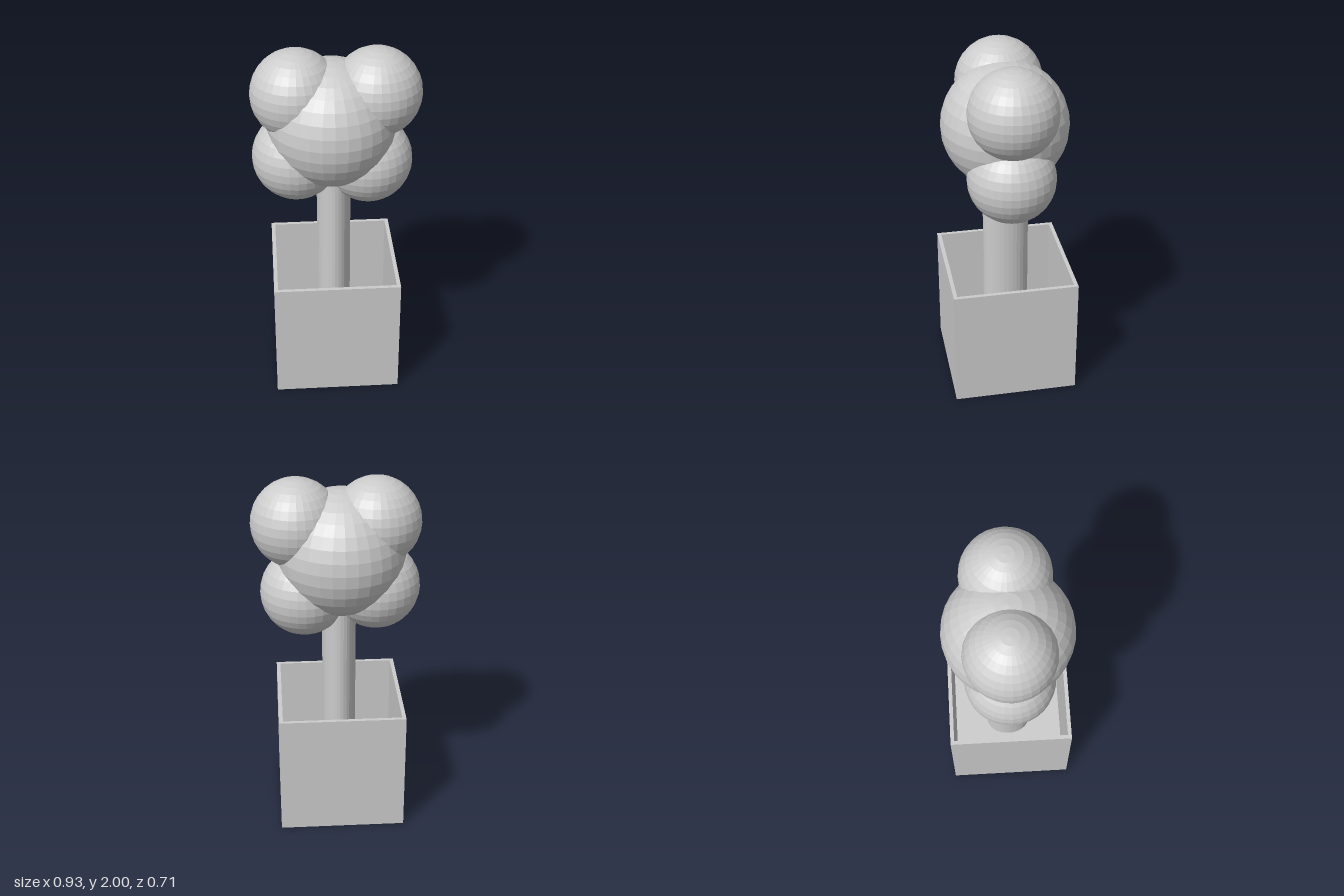
import * as THREE from 'three';

export function createModel() {
  const group = new THREE.Group();
  group.name = 'pottedTree';
  const flat = new THREE.MeshStandardMaterial({ color: 0xcccccc, flatShading: true });

  const add = (name, geometry, x, y, z = 0) => {
    const mesh = new THREE.Mesh(geometry, flat);
    mesh.name = name;
    mesh.position.set(x, y, z);
    group.add(mesh);
    return mesh;
  };

  const potX = -0.016, half = 0.354, wall = 0.022, height = 0.71;

  // Square pot: walls extruded upwards around a hole, closed by a floor
  const square = (Type, h) => new Type([
    new THREE.Vector2(-h, -h), new THREE.Vector2(h, -h),
    new THREE.Vector2(h, h), new THREE.Vector2(-h, h),
  ]);
  const outline = square(THREE.Shape, half);
  outline.holes.push(square(THREE.Path, half - wall));
  const walls = new THREE.ExtrudeGeometry(outline, { depth: height, bevelEnabled: false });
  walls.rotateX(-Math.PI / 2);
  add('potWalls', walls, potX, 0);
  const inner = 2 * (half - wall);
  add('potFloor', new THREE.BoxGeometry(inner, wall, inner), potX, wall / 2);

  // Oval trunk from the pot floor into the crown
  const trunkTop = 1.5;
  const trunk = new THREE.CylinderGeometry(0.095, 0.095, trunkTop - wall, 32);
  trunk.scale(1, 1, 0.13 / 0.095);
  add('trunk', trunk, potX, (trunkTop + wall) / 2);

  // Crown: a large ball with four smaller ones around it
  add('crownCentre', new THREE.SphereGeometry(0.354, 32, 16), -0.028, 1.58);
  const puff = new THREE.SphereGeometry(0.245, 32, 16);
  add('upperRightPuff', puff, -0.22, 1.755);
  add('upperLeftPuff', puff, 0.218, 1.755);
  add('lowerRightPuff', puff, -0.22, 1.38);
  add('lowerLeftPuff', puff, 0.175, 1.35);

  return group;
}
